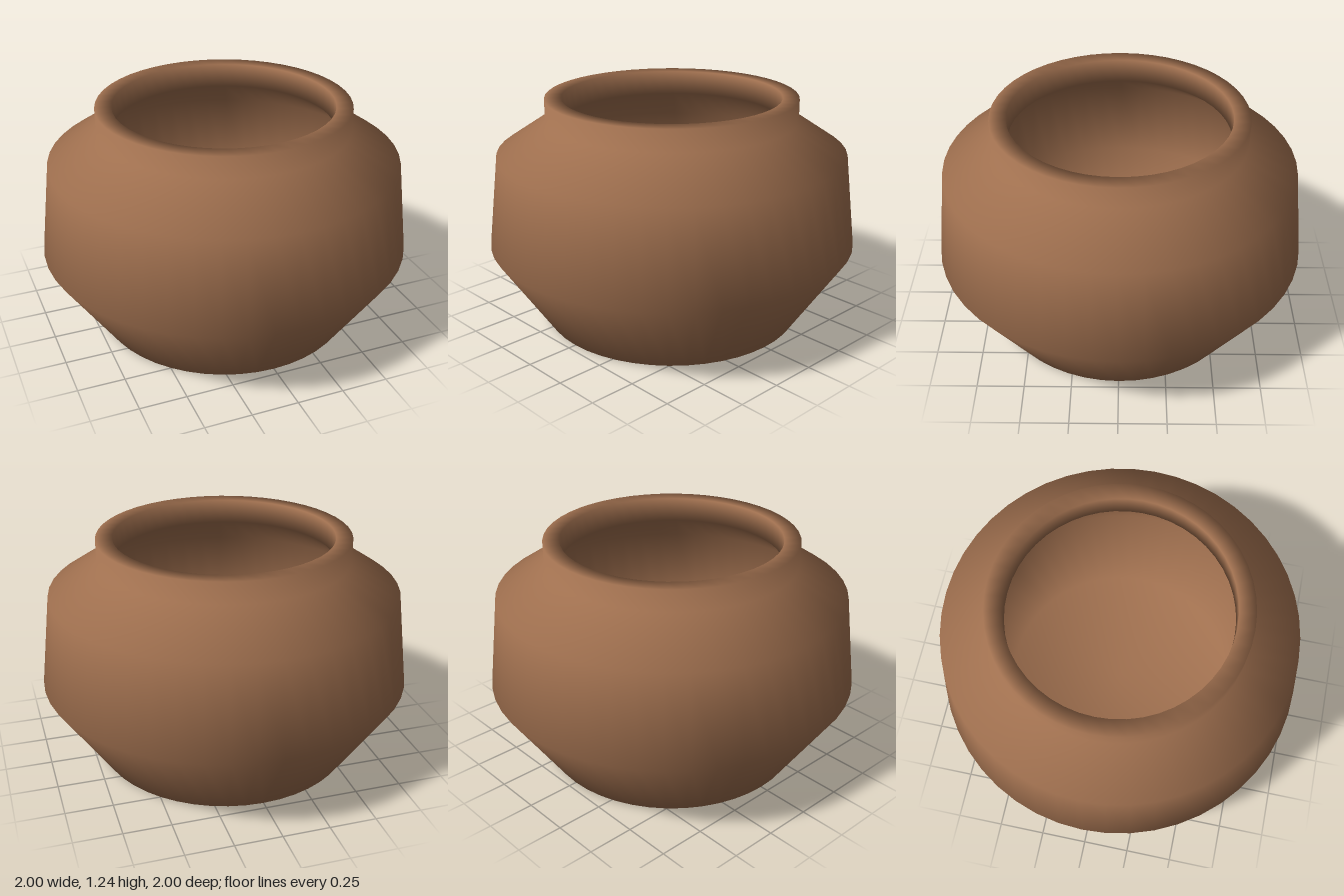
import * as THREE from 'three';
import { mergeVertices } from 'three/addons/utils/BufferGeometryUtils.js';

export function createModel() {
  const group = new THREE.Group();
  group.name = 'clayPot';

  const clay = new THREE.MeshStandardMaterial({ color: 0xa0704f });

  // Closed wall section, in 17ths of the belly radius
  const section = [
    [0, 0], [12, 0], [17, 7.5], [16, 16], [11.5, 19], [11.5, 21], // underside, wall, neck
    [10, 21], [10, 18.75], [14.5, 15.5], [15.5, 7.5], [11, 2], [0, 2], // lip, inner wall, floor
  ].map(([r, y]) => new THREE.Vector2(r / 17, y / 17));

  // Weld the seam and smooth the normals by face area
  const lathe = new THREE.LatheGeometry(section, 48);
  lathe.deleteAttribute('uv');
  lathe.deleteAttribute('normal');
  const geometry = mergeVertices(lathe);
  geometry.computeVertexNormals();

  const pot = new THREE.Mesh(geometry, clay);
  pot.name = 'pot';
  group.add(pot);

  return group;
}
